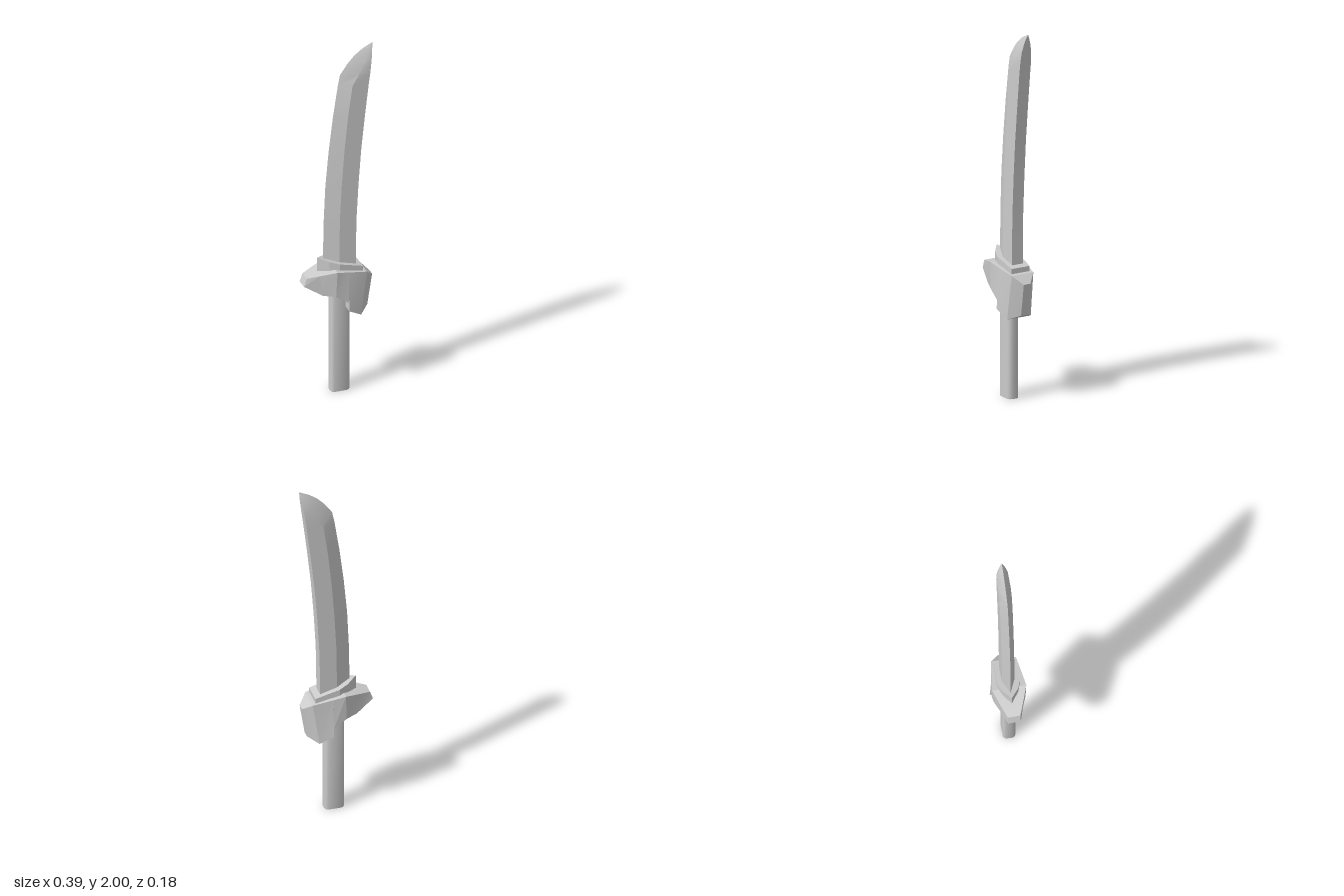
import * as THREE from 'three';
import { toCreasedNormals } from 'three/addons/utils/BufferGeometryUtils.js';

// Solid skinned through matching rings of [x, y, z] points, capped at both ends.
function loft(rings, crease = 0.3) {
  const n = rings[0].length;
  const tris = [];
  for (let r = 0; r < rings.length - 1; r++) {
    for (let i = 0; i < n; i++) {
      const j = (i + 1) % n;
      const a = rings[r][i], b = rings[r][j], c = rings[r + 1][j], d = rings[r + 1][i];
      tris.push([a, b, c], [a, c, d]);
    }
  }
  const first = rings[0], last = rings[rings.length - 1];
  for (let i = 1; i < n - 1; i++) {
    tris.push([first[0], first[i + 1], first[i]], [last[0], last[i], last[i + 1]]);
  }
  // Drop collapsed triangles and make the winding face outward
  const v = tris.map((t) => t.map((p) => new THREE.Vector3(...p)))
    .filter(([a, b, c]) => new THREE.Triangle(a, b, c).getArea() > 1e-8);
  const volume = v.reduce((s, [a, b, c]) => s + a.dot(b.clone().cross(c)), 0);
  if (volume < 0) v.forEach((t) => t.reverse());
  const geometry = new THREE.BufferGeometry().setFromPoints(v.flat());
  return toCreasedNormals(geometry, crease);
}

// Closed ring from one half outline of [x, z], mirrored across z = 0.
function mirrorOutline(half) {
  const back = half.filter(([, z]) => z > 0).reverse().map(([x, z]) => [x, -z]);
  return [...half, ...back];
}

export function createModel() {
  const group = new THREE.Group();
  const material = new THREE.MeshStandardMaterial({ color: 0xcccccc });
  const add = (name, geometry) => {
    const mesh = new THREE.Mesh(geometry, material);
    mesh.name = name;
    group.add(mesh);
  };

  // Blade: y, cutting edge x, shoulder x, spine x, half thickness
  const bladeSections = [
    [0.68, -0.08, -0.003, 0.088, 0.033],
    [0.85, -0.08, -0.002, 0.089, 0.033],
    [1.0, -0.077, 0.0, 0.092, 0.033],
    [1.2, -0.068, 0.01, 0.103, 0.033],
    [1.4, -0.05, 0.025, 0.118, 0.033],
    [1.6, -0.026, 0.045, 0.139, 0.033],
    [1.78, 0.001, 0.07, 0.16, 0.033],
    [1.84, 0.013, 0.105, 0.168, 0.033],
    [1.9, 0.055, 0.14, 0.176, 0.029],
    [1.94, 0.092, 0.158, 0.182, 0.021],
    [1.975, 0.138, 0.175, 0.187, 0.011],
    [2.0, 0.19, 0.191, 0.192, 0.0005],
  ];
  add('blade', loft(bladeSections.map(([y, edge, shoulder, spine, w]) =>
    mirrorOutline([[edge, 0], [shoulder, w], [spine, w]]).map(([x, z]) => [x, y, z])), 0.4));

  // Collar: pointed towards the cutting edge, with a sloping top
  const collar = mirrorOutline([[-0.115, 0], [-0.06, 0.043], [-0.01, 0.062], [0.12, 0.055]]);
  const collarTop = (x) => 0.758 - 0.277 * x;
  add('collar', loft([
    collar.map(([x, z]) => [x, 0.64, z]),
    collar.map(([x, z]) => [x, collarTop(x), z]),
  ]));

  // Guard: top x, y, half width, then bottom x, y, half width
  const guardSections = [
    [-0.182, 0.695, 0.033, -0.198, 0.65, 0.033],
    [-0.12, 0.71, 0.058, -0.103, 0.593, 0.06],
    [-0.034, 0.73, 0.09, -0.04, 0.587, 0.085],
    [0.03, 0.716, 0.082, 0.03, 0.54, 0.088],
    [0.031, 0.716, 0.082, 0.031, 0.492, 0.091],
    [0.138, 0.693, 0.066, 0.103, 0.45, 0.072],
    [0.183, 0.65, 0.02, 0.156, 0.476, 0.02],
  ];
  add('guard', loft(guardSections.map(([tx, ty, tw, bx, by, bw]) =>
    [[tx, ty, tw], [tx, ty, -tw], [bx, by, -bw], [bx, by, bw]]), 0.2));

  // Grip: flat-sided bar with softened ends
  const grip = mirrorOutline([
    [-0.045, 0.018], [-0.04, 0.027], [-0.03, 0.033],
    [0.04, 0.033], [0.054, 0.025], [0.06, 0.012],
  ]);
  add('grip', loft([0, 0.66].map((y) => grip.map(([x, z]) => [x, y, z])), 0.8));

  return group;
}
